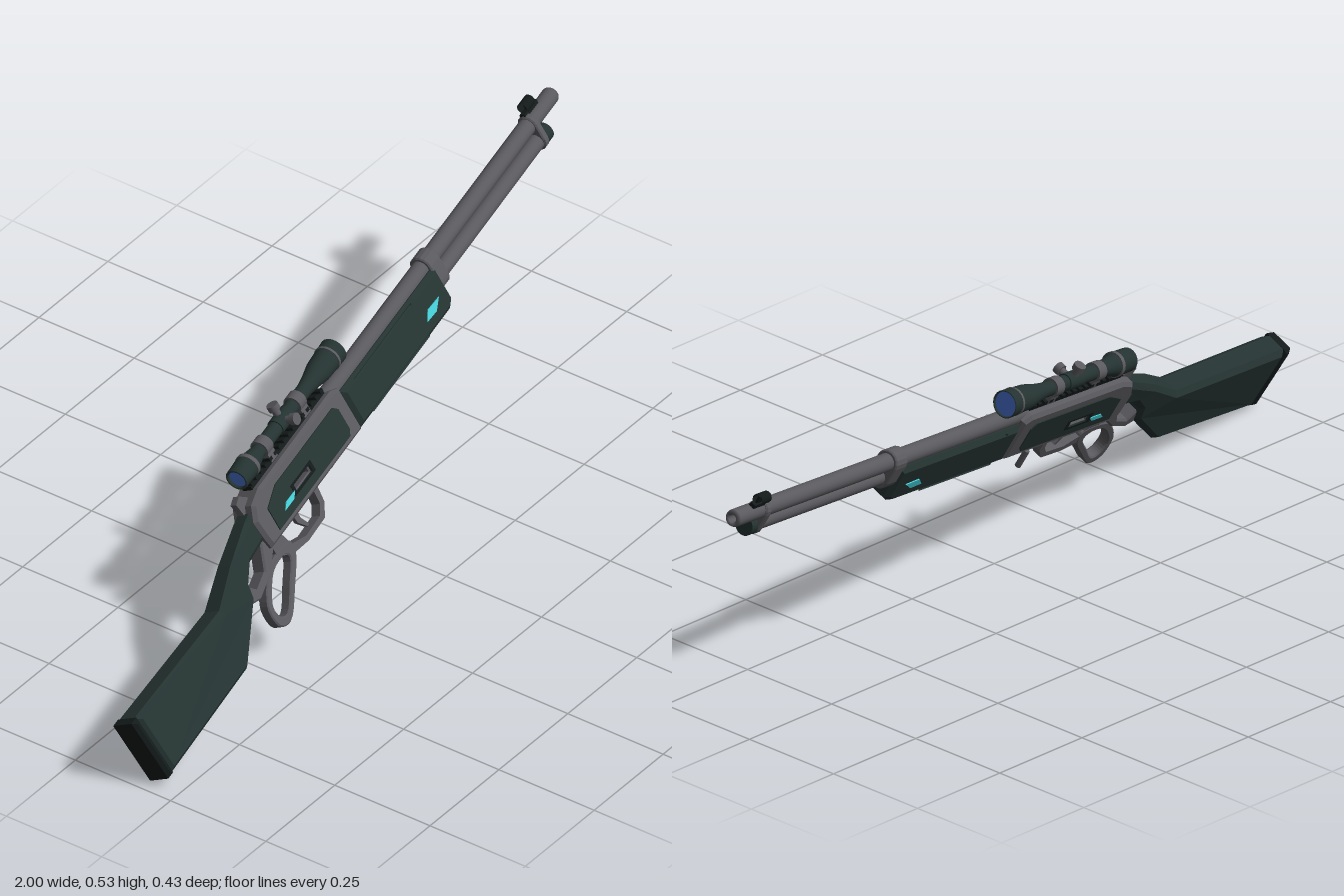
import * as THREE from 'three';

const mat = (name, color) => Object.assign(new THREE.MeshStandardMaterial({ color }), { name });

export function createModel() {
  const steel = mat('gunmetal', 0x5a595e);
  const green = mat('dark green', 0x243331);
  const black = mat('black', 0x141a1a);
  const cyan = mat('cyan', 0x45cdd6);
  const blue = mat('lens blue', 0x4a72cf);

  // Rifle space: x along the barrel, y up, z to the side, bore at the origin
  const rifle = new THREE.Group();
  rifle.name = 'rifle';

  const add = (name, geometry, material, x = 0, y = 0, z = 0) => {
    const mesh = new THREE.Mesh(geometry, material);
    mesh.name = name;
    mesh.position.set(x, y, z);
    rifle.add(mesh);
    return mesh;
  };
  const pts = (list) => list.map(([x, y]) => new THREE.Vector2(x, y));

  // Side profile extruded symmetrically about z = 0, with chamfered edges
  const slab = (outline, width, bevel = 0, holes = []) => {
    const shape = new THREE.Shape(pts(outline));
    holes.forEach((h) => shape.holes.push(new THREE.Path(pts(h))));
    const depth = width - 2 * bevel;
    const geo = new THREE.ExtrudeGeometry(shape, {
      depth, bevelEnabled: bevel > 0, bevelSize: bevel, bevelThickness: bevel,
      bevelOffset: -bevel, bevelSegments: 1, curveSegments: 8,
    });
    return geo.translate(0, 0, -depth / 2);
  };
  const rect = (x0, x1, y0, y1) => [[x0, y0], [x1, y0], [x1, y1], [x0, y1]];

  // Turned part along x from [x, radius] pairs, each segment kept crisp
  const turned = (profile, sides = 20) =>
    new THREE.LatheGeometry(profile.map(([x, r]) => new THREE.Vector2(r, x)), sides).rotateZ(-Math.PI / 2);
  const rod = (x0, x1, r, sides = 20) =>
    new THREE.CylinderGeometry(r, r, x1 - x0, sides).rotateZ(-Math.PI / 2).translate((x0 + x1) / 2, 0, 0);

  // Stock, thinner toward the wrist
  const stockGeo = slab([
    [-1.012, -0.245], [-0.657, -0.240], [-0.53, -0.150], [-0.522, -0.117], [-0.484, -0.087],
    [-0.40, -0.080], [-0.40, -0.008], [-0.44, -0.018], [-0.54, -0.052], [-0.64, -0.096], [-1.022, -0.086],
  ], 0.066, 0.012);
  const p = stockGeo.attributes.position;
  for (let i = 0; i < p.count; i++) {
    const t = THREE.MathUtils.clamp((p.getX(i) + 0.66) / 0.22, 0, 1);
    p.setZ(i, p.getZ(i) * (1 - 0.3 * t));
  }
  stockGeo.computeVertexNormals();
  add('stock', stockGeo, green);
  add('buttPad', slab([[-1.028, -0.245], [-1.006, -0.245], [-1.018, -0.086], [-1.04, -0.086]], 0.067, 0.008), black);

  // Rear tang that closes the thumb opening
  add('tang', slab([
    [-0.54, -0.158], [-0.51, -0.168], [-0.45, -0.150], [-0.40, -0.115], [-0.395, -0.078],
    [-0.428, -0.080], [-0.460, -0.132], [-0.505, -0.145], [-0.525, -0.122],
  ], 0.036, 0.004), steel);

  // Receiver with a slot through it, side panels and cyan marks
  const slot = rect(-0.275, -0.205, -0.063, -0.046);
  add('receiver', slab([
    [-0.415, -0.105], [-0.005, -0.105], [-0.005, 0.005], [-0.03, 0.016], [-0.36, 0.016],
    [-0.405, 0.002], [-0.425, -0.03], [-0.42, -0.08],
  ], 0.066, 0.008, [slot]), steel);
  const panel = [
    [-0.375, -0.088], [-0.055, -0.088], [-0.045, -0.075], [-0.045, -0.022], [-0.058, -0.008],
    [-0.32, -0.008], [-0.375, -0.03],
  ];
  for (const s of [1, -1]) {
    add('receiverPanel', slab(panel, 0.004, 0, [slot]), green, 0, 0, s * 0.0335);
    add('receiverMark', slab([[-0.335, -0.068], [-0.295, -0.068], [-0.28, -0.056], [-0.32, -0.056]], 0.004),
      cyan, 0, 0, s * 0.0355);
    add('slotTrim', slab(rect(-0.285, -0.195, -0.068, -0.041), 0.003, 0, [slot]), black, 0, 0, s * 0.035);
  }
  add('hammer', slab([[-0.42, -0.01], [-0.385, -0.01], [-0.385, 0.012], [-0.405, 0.03], [-0.425, 0.022]], 0.016), steel);
  add('sidePeg', new THREE.CylinderGeometry(0.007, 0.007, 0.045, 10), steel, -0.085, -0.118, -0.034);

  // Lever loop, trigger guard and trigger
  const smooth = (list) => new THREE.CatmullRomCurve3(list.map(([x, y]) => new THREE.Vector3(x, y, 0)), true)
    .getPoints(36).slice(0, -1).map((v) => [v.x, v.y]);
  add('leverLoop', slab(
    smooth([[-0.504, -0.205], [-0.498, -0.252], [-0.462, -0.266], [-0.40, -0.222], [-0.342, -0.165],
      [-0.345, -0.138], [-0.43, -0.136], [-0.475, -0.165]]), 0.026, 0.003,
    [smooth([[-0.486, -0.210], [-0.480, -0.238], [-0.459, -0.246], [-0.41, -0.207], [-0.368, -0.166],
      [-0.375, -0.153], [-0.425, -0.153], [-0.462, -0.178]])]), steel);
  add('triggerGuard', slab([
    [-0.40, -0.14], [-0.35, -0.168], [-0.295, -0.178], [-0.22, -0.176], [-0.197, -0.15], [-0.19, -0.1],
    [-0.207, -0.1], [-0.212, -0.145], [-0.23, -0.163], [-0.295, -0.165], [-0.345, -0.148], [-0.36, -0.1], [-0.40, -0.1],
  ], 0.024), steel);
  add('trigger', slab([[-0.295, -0.1], [-0.272, -0.1], [-0.276, -0.13], [-0.262, -0.157], [-0.27, -0.159], [-0.29, -0.134]],
    0.01), steel);

  // Fore-end with open windows
  add('foreEnd', slab([
    [-0.005, -0.105], [0.405, -0.105], [0.425, -0.09], [0.425, -0.006], [-0.005, -0.006],
  ], 0.066, 0.011, [rect(0.055, 0.292, -0.089, -0.02)]), green);
  for (const s of [1, -1]) {
    add('foreEndMark', slab([[0.315, -0.072], [0.355, -0.074], [0.382, -0.056], [0.335, -0.054]], 0.004),
      cyan, 0, 0, s * 0.0335);
  }

  // Barrel with a hollow muzzle, and the magazine tube below it
  add('barrel', turned([[-0.03, 0], [-0.03, 0.0205], [1.006, 0.0195], [1.011, 0.0175], [1.011, 0.0095], [0.98, 0.0095]]), steel);
  add('bore', new THREE.CircleGeometry(0.0096, 16).rotateY(Math.PI / 2), black, 0.982);
  add('magazineTube', rod(0, 0.925, 0.019), steel, 0, -0.042);
  add('magazineCap', rod(0.90, 0.938, 0.0225), green, 0, -0.042);

  // Bands clamping barrel and tube together
  const capsule = (r) => {
    const out = [];
    for (let i = 0; i <= 8; i++) out.push([r * Math.cos(i * Math.PI / 8), r * Math.sin(i * Math.PI / 8)]);
    for (let i = 0; i <= 8; i++) out.push([-r * Math.cos(i * Math.PI / 8), -0.042 - r * Math.sin(i * Math.PI / 8)]);
    return out;
  };
  const band = (name, x, width, r) =>
    add(name, slab(capsule(r), width, 0.003).rotateY(Math.PI / 2), steel, x);
  band('barrelBand', 0.433, 0.042, 0.0275);
  band('muzzleBand', 0.908, 0.018, 0.024);

  // Front sight: base, blade and hood
  add('sightBase', new THREE.BoxGeometry(0.055, 0.012, 0.014), black, 0.93, 0.022);
  add('sightBlade', new THREE.BoxGeometry(0.025, 0.022, 0.005), black, 0.935, 0.035);
  add('sightHood', new THREE.CylinderGeometry(0.013, 0.013, 0.034, 14, 1, true).rotateZ(-Math.PI / 2),
    Object.assign(black.clone(), { side: THREE.DoubleSide }), 0.93, 0.036);

  // Toothed scope rail
  add('rail', new THREE.BoxGeometry(0.33, 0.01, 0.026), black, -0.2, 0.02);
  for (let i = 0; i < 16; i++) {
    add('railTooth', new THREE.BoxGeometry(0.011, 0.008, 0.032), black, -0.357 + i * 0.021, 0.027);
  }

  // Scope body, lenses, rings and turrets
  const axis = 0.054;
  add('scopeBody', turned([
    [-0.365, 0.021], [-0.378, 0.021], [-0.378, 0.026], [-0.325, 0.0275], [-0.315, 0.023], [-0.285, 0.017],
    [-0.07, 0.017], [-0.04, 0.021], [-0.005, 0.028], [0.066, 0.031], [0.066, 0.028], [0.056, 0.028],
  ], 24), green, 0, axis);
  add('frontLens', new THREE.CircleGeometry(0.0285, 24).rotateY(Math.PI / 2), blue, 0.061, axis);
  add('rearLens', new THREE.CircleGeometry(0.0215, 24).rotateY(-Math.PI / 2), blue, -0.372, axis);
  add('focusRing', rod(-0.332, -0.322, 0.0285), steel, 0, axis);
  add('bellRing', rod(0.035, 0.041, 0.0312), steel, 0, axis);
  for (const x of [-0.262, -0.11]) {
    add('scopeRing', rod(x - 0.013, x + 0.013, 0.0215), steel, 0, axis);
    add('ringFoot', new THREE.BoxGeometry(0.026, 0.022, 0.03), steel, x, 0.029);
  }
  add('turretHousing', rod(-0.2, -0.148, 0.0195), green, 0, axis);
  const turret = new THREE.Group();
  turret.name = 'turret';
  const stem = new THREE.Mesh(new THREE.CylinderGeometry(0.009, 0.009, 0.03, 14).translate(0, 0.02, 0), steel);
  stem.name = 'turretStem';
  const cap = new THREE.Mesh(new THREE.CylinderGeometry(0.0135, 0.0135, 0.014, 14).translate(0, 0.037, 0), steel);
  cap.name = 'turretCap';
  turret.add(stem, cap);
  turret.position.set(-0.174, axis, 0);
  const sideTurret = turret.clone();
  sideTurret.name = 'sideTurret';
  sideTurret.rotation.x = Math.PI / 2;
  rifle.add(turret, sideTurret);

  // Resting pose: muzzle raised, turned and rolled
  const along = new THREE.Vector3(0.982, 0.1315, -0.1375).normalize();
  const side = along.clone().cross(new THREE.Vector3(-0.179, 0.882, -0.436)).normalize();
  const up = side.clone().cross(along);
  rifle.quaternion.setFromRotationMatrix(new THREE.Matrix4().makeBasis(along, up, side));
  rifle.position.set(0, 0.37, -0.053);

  const model = new THREE.Group();
  model.name = 'model';
  model.add(rifle);
  return model;
}
